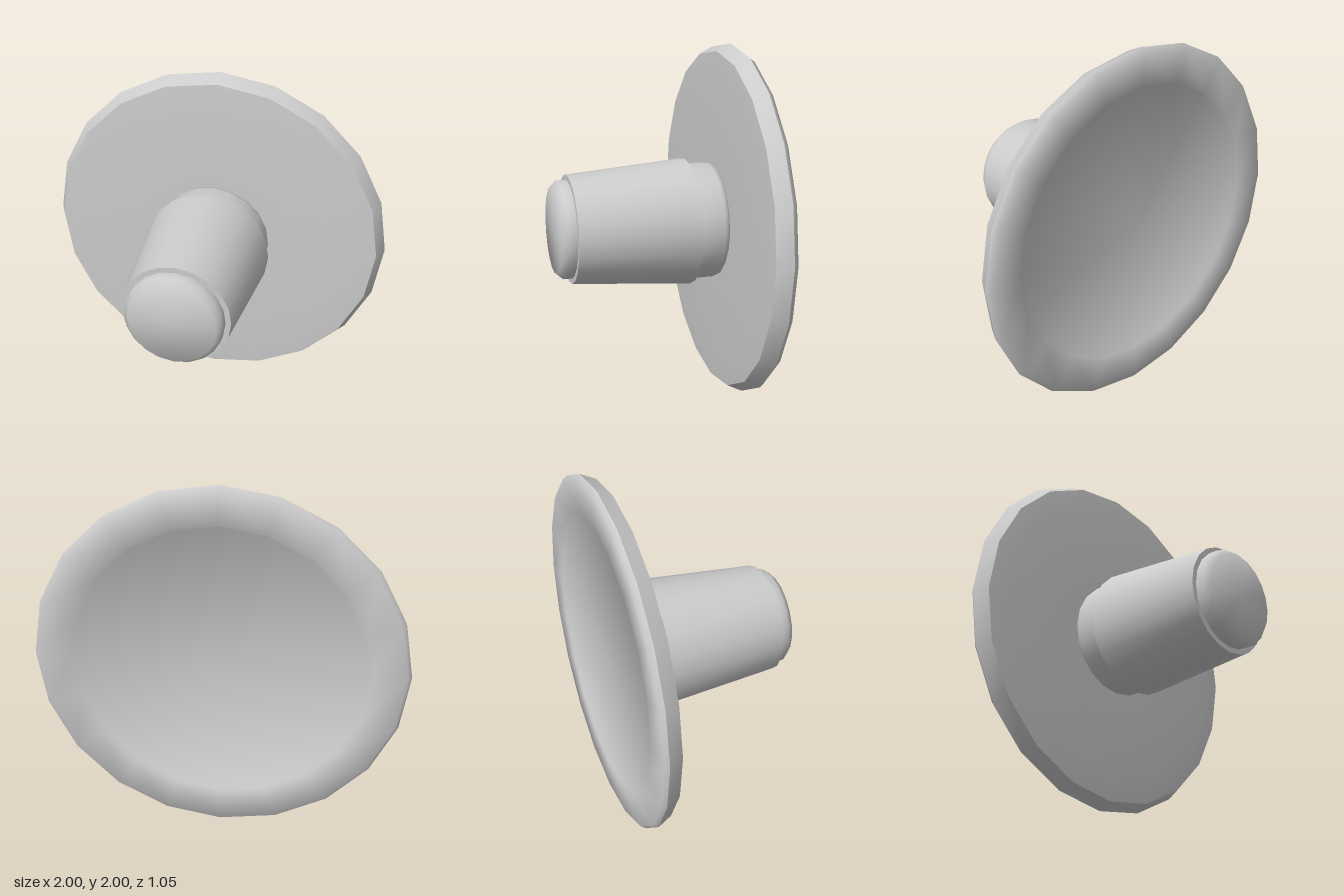
import * as THREE from 'three';
import { toCreasedNormals } from 'three/addons/utils/BufferGeometryUtils.js';

const SIDES = 20;

// Turned part: profile of [radius, z] from back to front, around the z axis
function turned(name, profile, material) {
  const points = profile.map(([r, z]) => new THREE.Vector2(r, z));
  const geometry = new THREE.LatheGeometry(points, SIDES);
  geometry.rotateX(Math.PI / 2);
  const mesh = new THREE.Mesh(toCreasedNormals(geometry, 0.95), material);
  mesh.name = name;
  mesh.position.y = 1;
  return mesh;
}

export function createModel() {
  const group = new THREE.Group();
  group.name = 'discWithStem';
  const grey = new THREE.MeshStandardMaterial({ color: 0xcccccc });

  // Wide disc: shallow recess behind, bevelled rim, open where the stem joins
  group.add(turned('disc', [
    [0, -0.512], [0.785, -0.512], [0.8, -0.524], [0.98, -0.524], [1, -0.497],
    [0.96, -0.415], [0.83, -0.405], [0.31, -0.405],
  ], grey));

  // Collar between disc and sleeve
  group.add(turned('collar', [
    [0.31, -0.405], [0.325, -0.395], [0.33, -0.375], [0.33, -0.24],
  ], grey));

  // Tapered sleeve with a step at each end
  group.add(turned('sleeve', [
    [0.33, -0.24], [0.36, -0.24], [0.305, 0.438], [0.275, 0.438],
  ], grey));

  // Tip with a bevelled edge
  group.add(turned('tip', [
    [0.275, 0.438], [0.275, 0.488], [0.245, 0.522], [0, 0.522],
  ], grey));

  return group;
}
